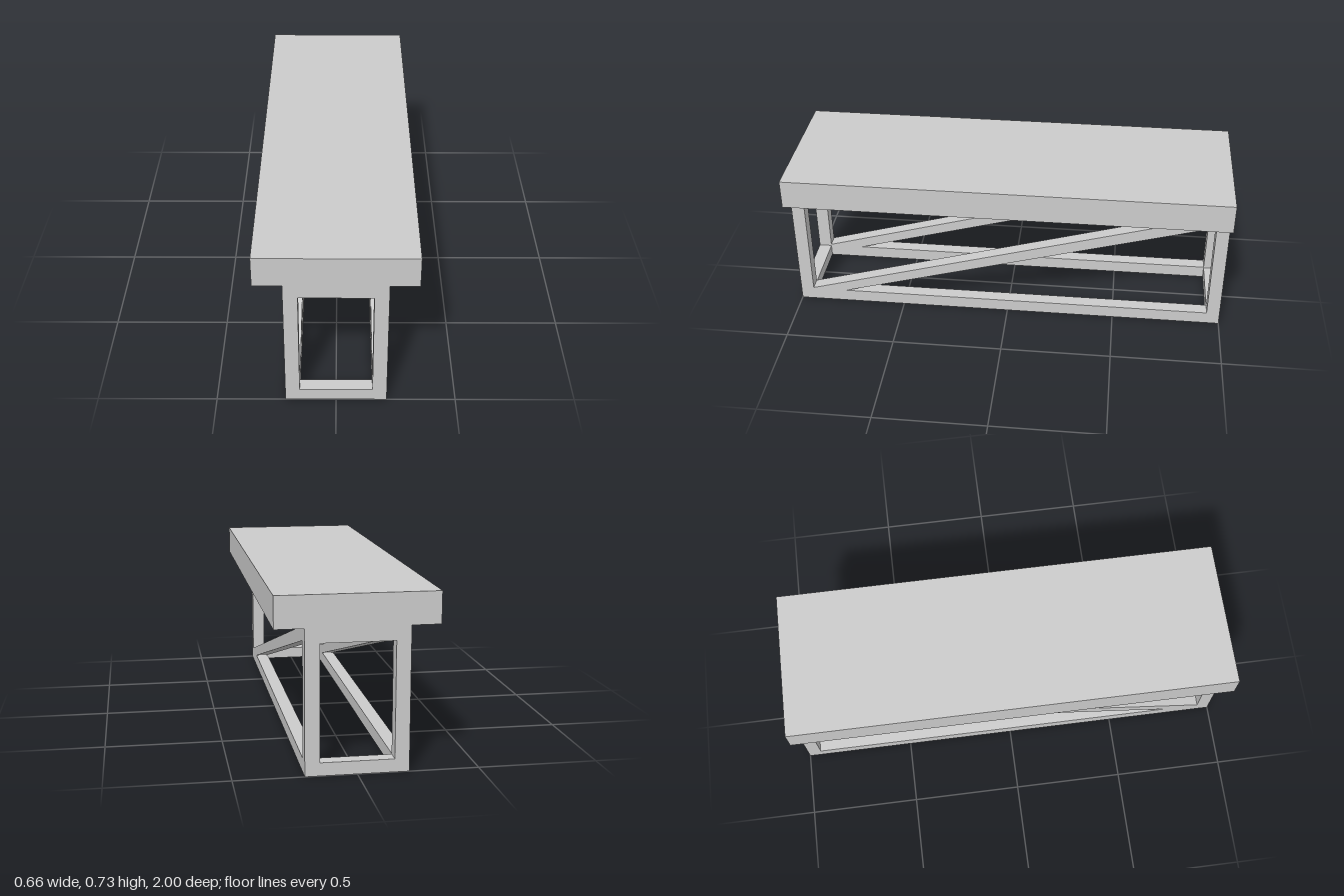
import * as THREE from 'three';

const material = new THREE.MeshStandardMaterial({ color: 0xcccccc, flatShading: true, side: THREE.DoubleSide });

const OUTER = 0.212, INNER = 0.152; // frame faces in x
const SEAT_Y = 0.6, RAIL_Y = 0.54;  // underside of seat and of upper rails

function polygon(points, Type) {
  return new Type(points.map(([z, y]) => new THREE.Vector2(z, y)));
}

export function createModel() {
  const model = new THREE.Group();

  function addBox(name, w, y0, y1, d, z = 0) {
    const mesh = new THREE.Mesh(new THREE.BoxGeometry(w, y1 - y0, d), material);
    mesh.name = name;
    mesh.position.set(0, (y0 + y1) / 2, z);
    model.add(mesh);
  }

  // Thick seat slab and the solid panel between the upper rails
  addBox('seat', 0.664, SEAT_Y, 0.733, 2);
  addBox('seatSupport', 2 * INNER, RAIL_Y, SEAT_Y, 2);

  // Side frame profile in (z, y): posts and rails, with a diagonal brace left between two holes
  const profile = polygon([[-1, 0], [1, 0], [1, SEAT_Y], [-1, SEAT_Y]], THREE.Shape);
  profile.holes.push(
    polygon([[0.94, 0.062], [0.94, RAIL_Y], [-0.735, RAIL_Y]], THREE.Path),
    polygon([[-0.94, RAIL_Y], [-0.94, 0.058], [0.78, 0.058]], THREE.Path)
  );
  const frame = new THREE.ExtrudeGeometry(profile, { depth: OUTER - INNER, bevelEnabled: false });
  frame.rotateY(-Math.PI / 2); // profile z runs along world z, depth along -x

  for (const [name, x] of [['leftSideFrame', OUTER], ['rightSideFrame', -INNER]]) {
    const mesh = new THREE.Mesh(frame, material);
    mesh.name = name;
    mesh.position.x = x;
    model.add(mesh);
  }

  // Floor rails joining the side frames at both ends
  addBox('frontFloorRail', 2 * INNER, 0, 0.055, 0.06, 0.97);
  addBox('backFloorRail', 2 * INNER, 0, 0.055, 0.06, -0.97);

  return model;
}
